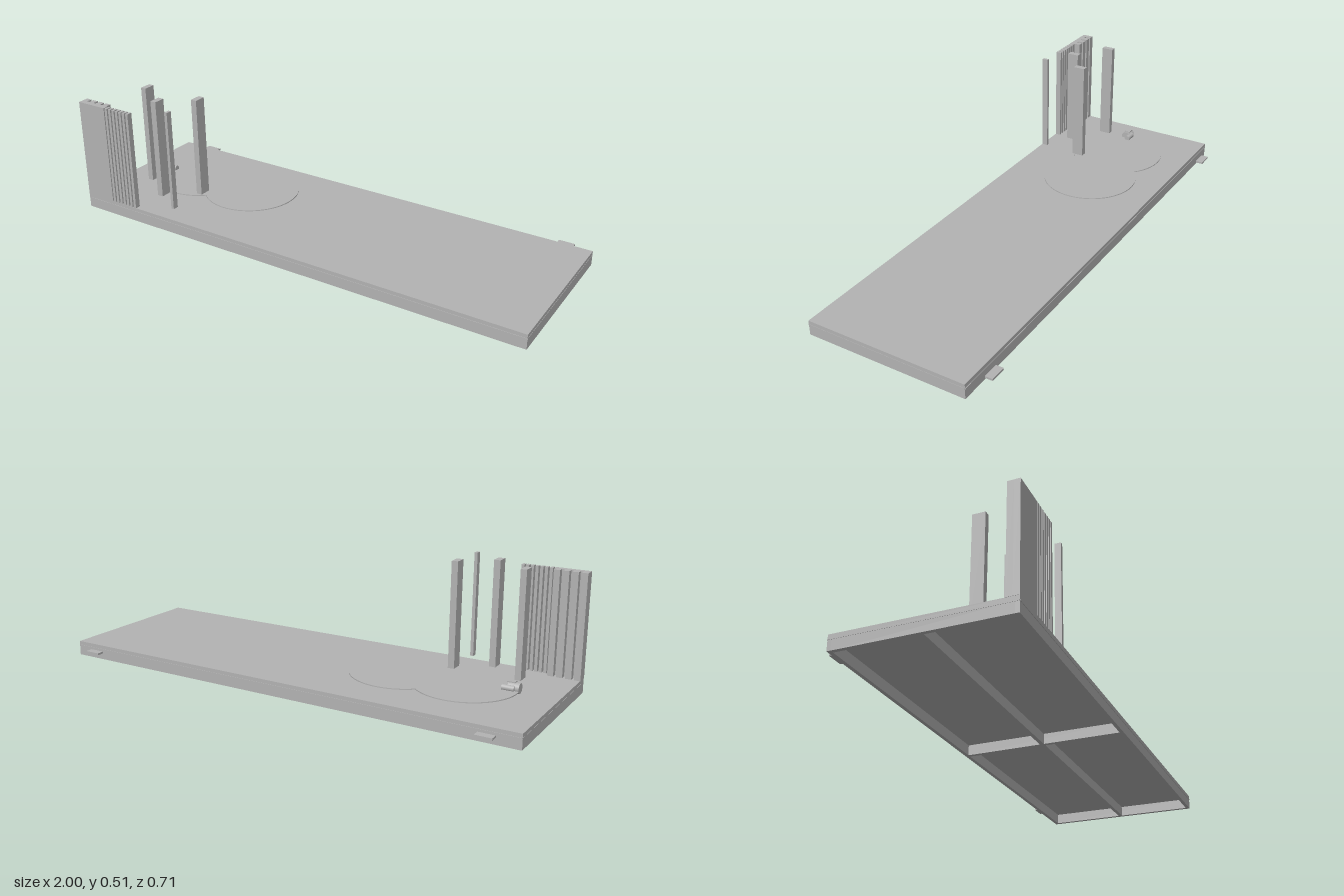
import * as THREE from 'three';

export function createModel() {
  const model = new THREE.Group();
  model.name = 'platformModel';
  const grey = new THREE.MeshStandardMaterial({ color: 0xb3b3b3 });
  grey.name = 'plain grey';

  const add = (name, geometry, parent = model) => {
    const mesh = new THREE.Mesh(geometry, grey);
    mesh.name = name;
    parent.add(mesh);
    return mesh;
  };
  // Box given by its limits on each axis
  const box = (name, x0, x1, y0, y1, z0, z1, parent = model) =>
    add(name, new THREE.BoxGeometry(x1 - x0, y1 - y0, z1 - z0), parent)
      .position.set((x0 + x1) / 2, (y0 + y1) / 2, (z0 + z1) / 2);
  const group = (name) => {
    const g = new THREE.Group();
    g.name = name;
    model.add(g);
    return g;
  };

  // Platform: deck on a hollow frame with two crossing beams below
  const back = -0.307, front = 0.355, mid = (back + front) / 2, wall = 0.015;
  const base = group('platform');
  box('deck', -0.999, 0.999, 0.042, 0.06, back, front, base);
  box('frontRail', -0.999, 0.999, 0, 0.042, front - wall, front, base);
  box('backRail', -0.999, 0.999, 0, 0.042, back, back + wall, base);
  for (const s of [-1, 1]) {
    box('endRail', s * 0.9915 - 0.0075, s * 0.9915 + 0.0075, 0, 0.042, back + wall, front - wall, base);
    box('endTrim', s * 0.9995 - 0.0005, s * 0.9995 + 0.0005, 0.04, 0.045, back, front, base);
  }
  box('longBeam', -0.984, 0.984, 0, 0.042, mid - 0.008, mid + 0.008, base);
  box('crossBeam', -0.008, 0.008, 0, 0.042, back + wall, front - wall, base);
  box('frontTrim', -0.999, 0.999, 0.04, 0.045, front, front + 0.002, base);
  box('backTrim', -0.999, 0.999, 0.04, 0.045, back - 0.002, back, base);

  // Loose plates behind the back edge
  for (const s of [-1, 1]) {
    box('backPlate', s * 0.88 - 0.033, s * 0.88 + 0.033, 0.034, 0.042, -0.357, -0.326);
  }

  // Thin sheet outlined by two overlapping circles
  const r = 0.2, leftX = -0.667, rightX = -0.4;
  const a = Math.acos((rightX - leftX) / 2 / r);
  const outline = new THREE.Shape();
  outline.absarc(leftX, 0, r, a, Math.PI * 2 - a, false);
  outline.absarc(rightX, 0, r, Math.PI + a, Math.PI * 3 - a, false);
  const sheet = new THREE.ExtrudeGeometry(outline, { depth: 0.004, bevelEnabled: false, curveSegments: 48 });
  sheet.rotateX(-Math.PI / 2);
  add('doubleRoundSheet', sheet).position.set(0, 0.081, -0.01);

  // Upright posts: centre x, z limits, width
  const posts = group('posts');
  for (const [x, z0, z1, w] of [
    [-0.824, 0.107, 0.157, 0.024],
    [-0.555, 0.107, 0.157, 0.026],
    [-0.683, 0.208, 0.257, 0.026],
    [-0.56, 0.298, 0.323, 0.013],
  ]) box('post', x - w / 2, x + w / 2, 0.091, 0.513, z0, z1, posts);

  // Corner screen: solid panel with ribs behind it, then open slats
  const screen = group('cornerScreen');
  box('screenPanel', -1, -0.863, 0.06, 0.48, 0.332, 0.355, screen);
  for (let i = 0; i < 4; i++) {
    const x = -1 + i * 0.0355;
    box('rib', x, x + 0.024, 0.06, 0.48, 0.308, 0.332, screen);
  }
  for (let i = 0; i < 7; i++) {
    const x = -0.858 + i * 0.0187;
    box('slat', x, x + 0.012, 0.06, 0.48, 0.332, 0.355, screen);
  }

  // Small fitting: two cylinders lying along x and a flat lever
  const fitting = group('fitting');
  const roller = (name, radius, x0, x1, z) => {
    const g = new THREE.CylinderGeometry(radius, radius, x1 - x0, 32);
    g.rotateZ(Math.PI / 2);
    add(name, g, fitting).position.set((x0 + x1) / 2, 0.092, z);
  };
  roller('largeRoller', 0.02, -0.866, -0.822, 0.024);
  roller('smallRoller', 0.012, -0.85, -0.802, 0.008);
  box('lever', -0.852, -0.82, 0.115, 0.119, 0.005, 0.026, fitting);

  return model;
}
